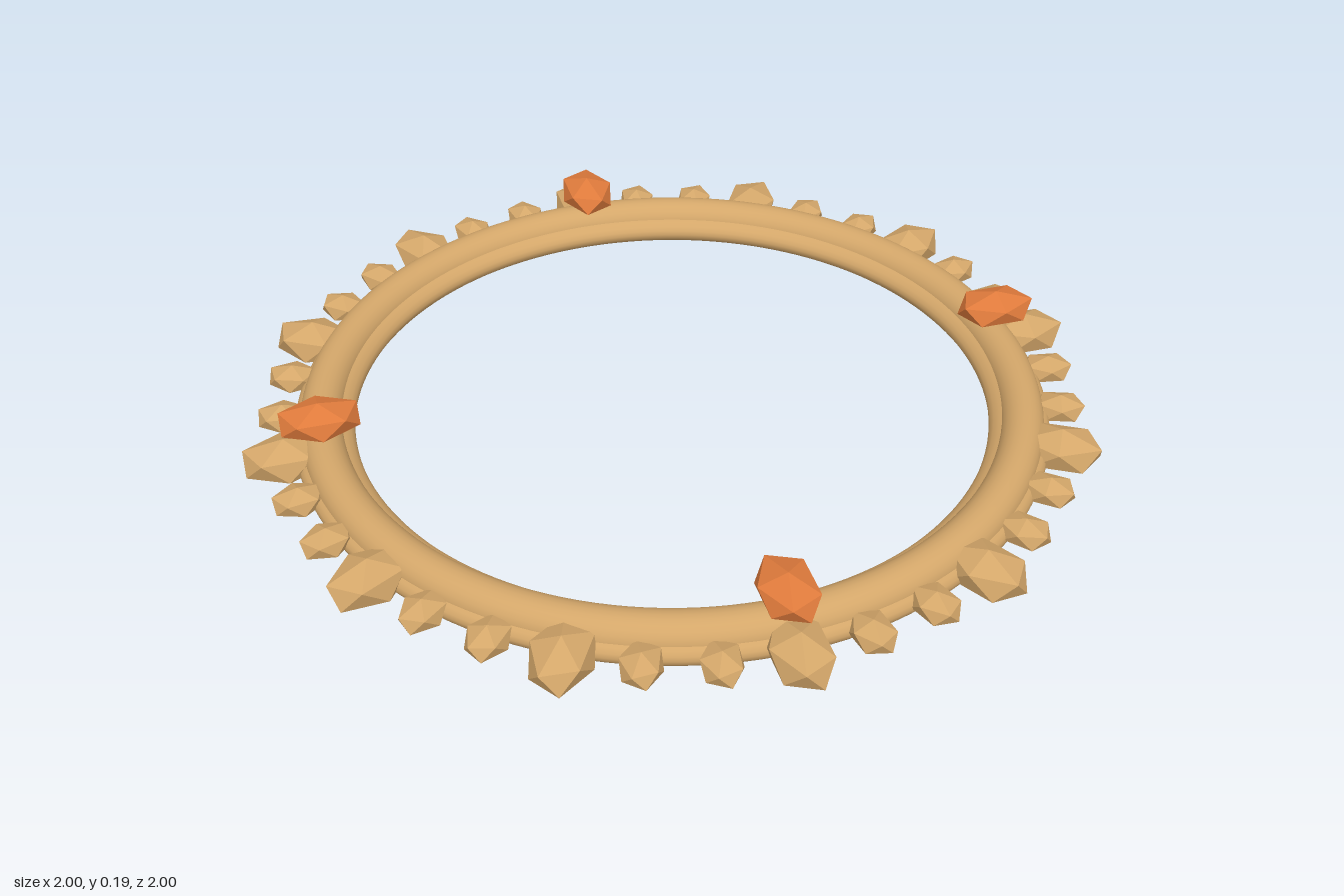
import * as THREE from 'three';

export function createModel() {
  const model = new THREE.Group();
  model.name = 'studdedRing';
  const tan = new THREE.MeshStandardMaterial({ color: 0xd4a76a });
  tan.name = 'sand';
  const orange = new THREE.MeshStandardMaterial({ color: 0xe07b3c });
  orange.name = 'amber';

  // Ring band: torus of elliptical section
  function band(name, radius, halfWidth, halfHeight, y) {
    const geo = new THREE.TorusGeometry(radius, halfWidth, 24, 144);
    geo.rotateX(-Math.PI / 2);
    geo.scale(1, halfHeight / halfWidth, 1);
    const mesh = new THREE.Mesh(geo, tan);
    mesh.name = name;
    mesh.position.y = y;
    model.add(mesh);
  }
  band('baseBand', 0.815, 0.07, 0.04, 0.042);
  band('upperBand', 0.82, 0.05, 0.05, 0.058);

  // Faceted gem with a vertex pointing up; local x points away from the centre
  const gemGeo = new THREE.IcosahedronGeometry(1, 0);
  gemGeo.rotateX(-Math.atan((1 + Math.sqrt(5)) / 2));
  gemGeo.computeVertexNormals();

  function gem(name, material, angle, radius, y, radial, height, tangential) {
    const mesh = new THREE.Mesh(gemGeo, material);
    mesh.name = name;
    mesh.position.set(Math.cos(angle) * radius, y, -Math.sin(angle) * radius);
    mesh.rotation.y = angle;
    mesh.scale.set(radial / 0.851, height, tangential / 0.894);
    model.add(mesh);
  }

  // Outer studs: every third one is large
  for (let i = 0; i < 36; i++) {
    const a = (i * Math.PI) / 18;
    if (i % 3 === 0) gem('largeStud', tan, a, 0.908, 0.058, 0.092, 0.053, 0.066);
    else gem('smallStud', tan, a, 0.91, 0.058, 0.056, 0.034, 0.045);
  }

  // Four stones on top of the band
  for (let i = 0; i < 4; i++) {
    gem('topStone', orange, (i * Math.PI) / 2, 0.822, 0.15, 0.088, 0.043, 0.064);
  }
  return model;
}
